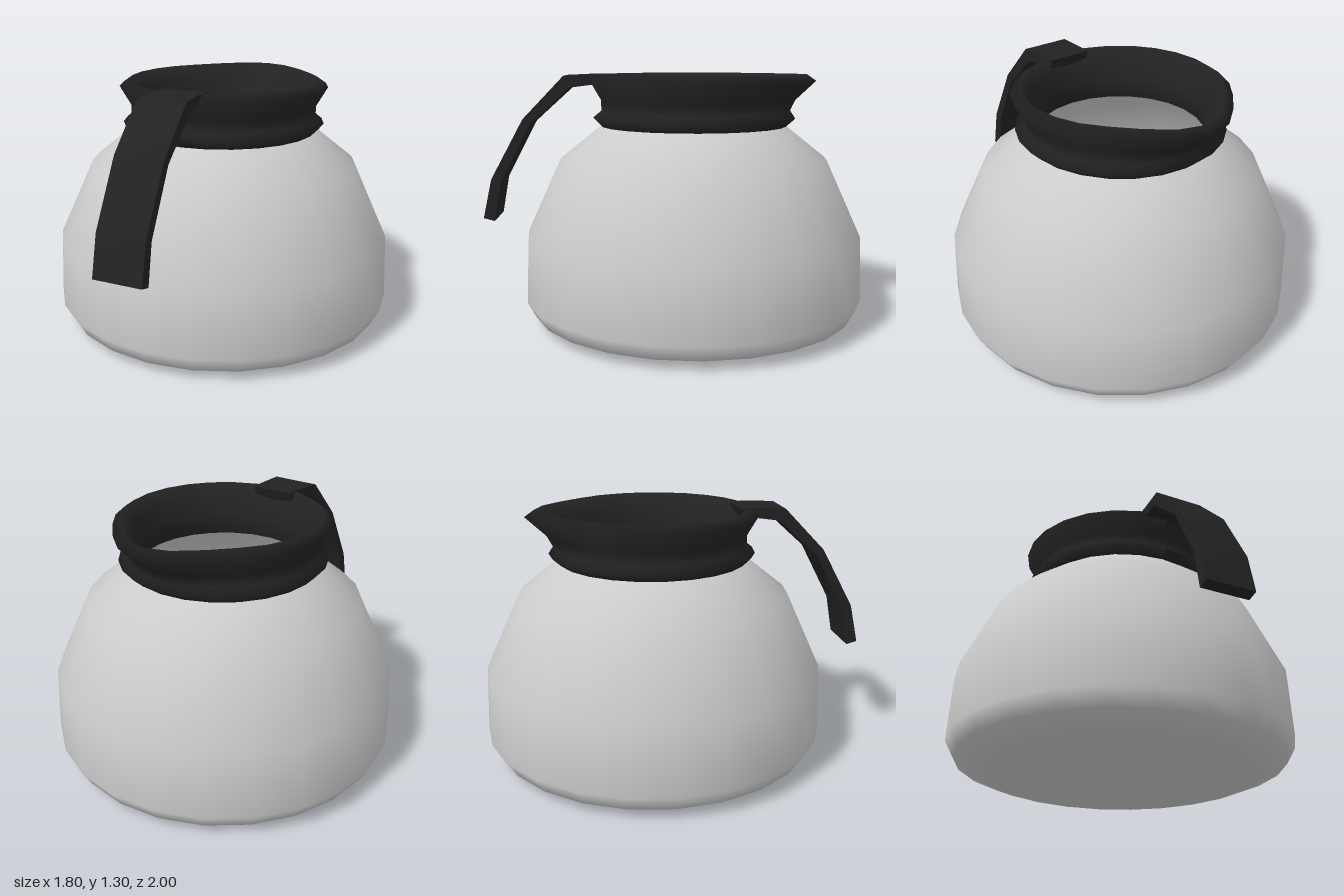
import * as THREE from 'three';
import { toCreasedNormals } from 'three/addons/utils/BufferGeometryUtils.js';

const SEGMENTS = 24;
const AXIS_Z = -0.1; // the vessel sits slightly behind the origin

const lathe = (pts) =>
  new THREE.LatheGeometry(pts.map(([r, y]) => new THREE.Vector2(r, y)), SEGMENTS);

// Thin-walled bowl: outer wall upwards, then inner wall down to the floor
function bowlGeometry() {
  return lathe([
    [0, 0], [0.70, 0], [0.74, 0.005], [0.855, 0.05], [0.90, 0.13], [0.885, 0.47],
    [0.705, 0.86], [0.485, 1.035], [0.45, 1.035],
    [0.685, 0.85], [0.86, 0.465], [0.872, 0.135], [0.83, 0.05], [0.78, 0.05], [0, 0.05],
  ]);
}

// Pouring collar: a closed ring profile with the back pulled out into a spout
function collarGeometry() {
  const geo = lathe([
    [0.43, 1.03], [0.485, 1.03], [0.53, 1.075], [0.487, 1.11], [0.487, 1.165],
    [0.545, 1.265], [0.495, 1.30], [0.45, 1.23], [0.415, 1.14], [0.415, 1.08], [0.43, 1.03],
  ]);
  const pull = [0.105, 0.08, 0.03, 0]; // by steps of 15 degrees away from the back
  const p = geo.attributes.position;
  for (let i = 0; i < p.count; i++) {
    const x = p.getX(i), y = p.getY(i), z = p.getZ(i);
    const step = Math.round(Math.abs(Math.atan2(x, -z)) / (Math.PI / 12));
    const height = THREE.MathUtils.clamp((y - 1.06) / 0.2, 0, 1);
    p.setZ(i, z - (pull[step] ?? 0) * height);
  }
  geo.computeVertexNormals();
  return geo;
}

// Handle: bent strap section drawn in (z, y), extruded across x
function handleGeometry() {
  const outer = [[0.33, 1.302], [0.42, 1.302], [0.57, 1.295], [0.783, 1.075], [0.954, 0.764], [1.0, 0.56]];
  const inner = [[0.944, 0.545], [0.906, 0.748], [0.745, 1.05], [0.54, 1.235], [0.42, 1.25], [0.36, 1.23]];
  const shape = new THREE.Shape([...outer, ...inner].map(([z, y]) => new THREE.Vector2(z, y)));
  const geo = new THREE.ExtrudeGeometry(shape, { depth: 0.254, bevelEnabled: false });
  geo.translate(0, 0, -0.127).rotateY(-Math.PI / 2);

  // narrow slightly where it meets the collar
  const p = geo.attributes.position;
  for (let i = 0; i < p.count; i++) {
    if (p.getZ(i) < 0.5) p.setX(i, p.getX(i) * 0.9);
  }
  return toCreasedNormals(geo, 0.7);
}

export function createModel() {
  const glass = new THREE.MeshStandardMaterial({ color: 0xcccccc });
  const black = new THREE.MeshStandardMaterial({ color: 0x222222 });
  const model = new THREE.Group();
  model.name = 'coffeePot';

  const add = (name, geometry, material, z = 0) => {
    const mesh = new THREE.Mesh(geometry, material);
    mesh.name = name;
    mesh.position.z = z;
    model.add(mesh);
  };

  add('bowl', bowlGeometry(), glass, AXIS_Z);
  add('collar', collarGeometry(), black, AXIS_Z);
  add('handle', handleGeometry(), black);
  return model;
}
